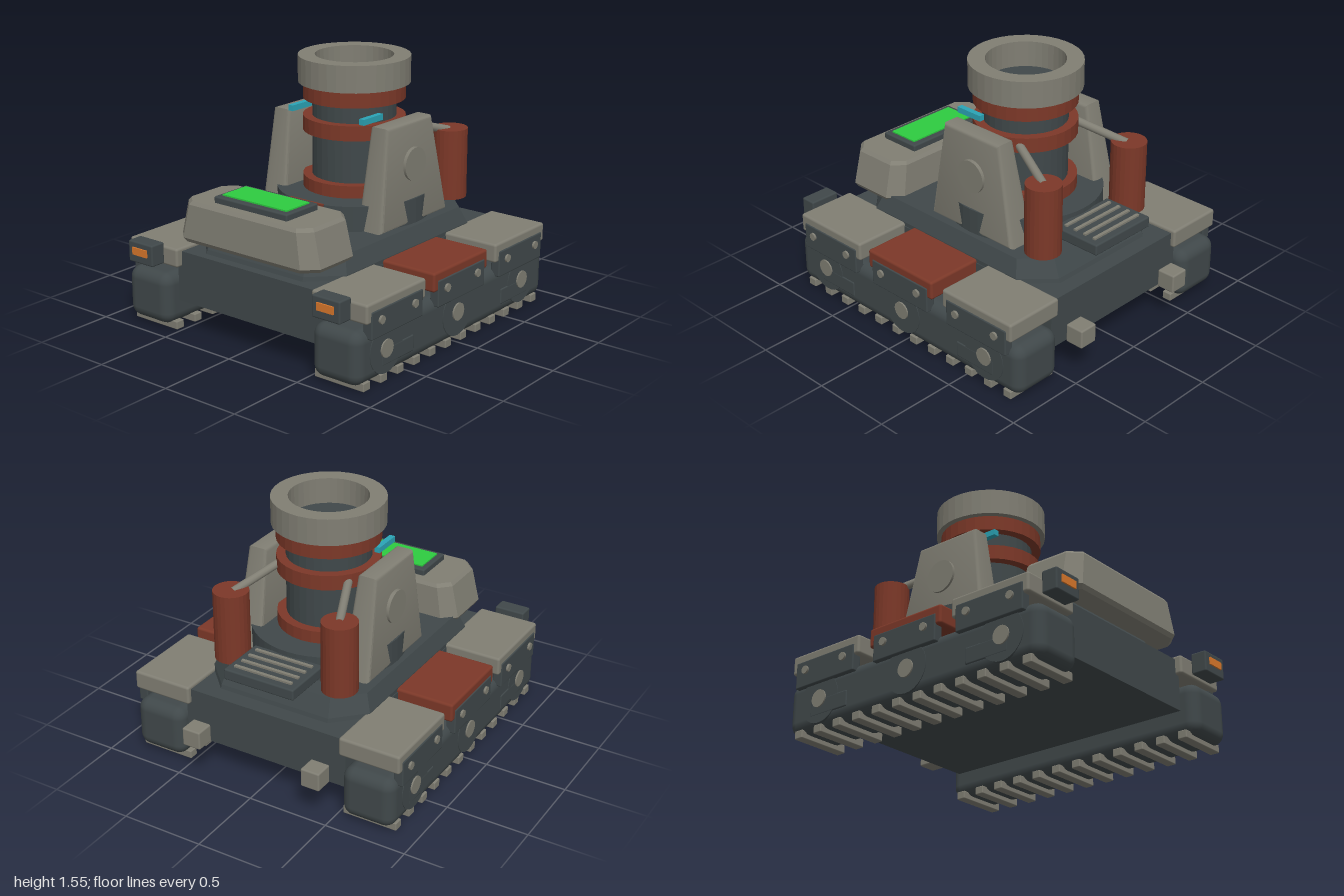
import * as THREE from 'three';
import { RoundedBoxGeometry } from 'three/addons/geometries/RoundedBoxGeometry.js';
import { toCreasedNormals } from 'three/addons/utils/BufferGeometryUtils.js';

const paint = (name, color) => {
  const m = new THREE.MeshStandardMaterial({ color });
  m.name = name;
  return m;
};

export function createModel() {
  const model = new THREE.Group();
  model.name = 'siegeVehicle';
  const dark = paint('darkSteel', 0x40484a);
  const gray = paint('warmGray', 0x807e73);
  const rust = paint('rustRed', 0x7c3828);
  const cyan = paint('cyanSight', 0x2ba4b6);
  const orange = paint('orangeLamp', 0xd9772b);
  const green = paint('greenScreen', 0x2ecc40);

  const add = (name, geometry, material, x = 0, y = 0, z = 0) => {
    const mesh = new THREE.Mesh(geometry, material);
    mesh.name = name;
    mesh.position.set(x, y, z);
    model.add(mesh);
    return mesh;
  };
  const box = (name, mat, w, h, d, x, y, z) => add(name, new THREE.BoxGeometry(w, h, d), mat, x, y, z);
  const softBox = (name, mat, w, h, d, r, x, y, z) => add(name, new RoundedBoxGeometry(w, h, d, 3, r), mat, x, y, z);

  // Upright faceted cylinder between two heights
  const drum = (name, mat, r, y0, y1, x, z, sides = 32) => {
    const g = toCreasedNormals(new THREE.CylinderGeometry(r, r, y1 - y0, sides), 0.1);
    return add(name, g, mat, x, (y0 + y1) / 2, z);
  };
  // Disc whose axis runs sideways
  const sideDisc = (name, mat, r, depth, x, y, z, sides = 28) => {
    const g = toCreasedNormals(new THREE.CylinderGeometry(r, r, depth, sides), 0.6);
    return add(name, g.rotateZ(Math.PI / 2), mat, x, y, z);
  };

  // Flat-faced loft of cut-cornered rectangles: [y, half width, half depth, corner cut]
  const octagonLoft = (sections) => {
    const rings = sections.map(([y, hx, hz, c]) => [
      [hx, y, hz - c], [hx, y, c - hz], [hx - c, y, -hz], [c - hx, y, -hz],
      [-hx, y, c - hz], [-hx, y, hz - c], [c - hx, y, hz], [hx - c, y, hz],
    ]);
    const pos = [];
    const tri = (a, b, c) => pos.push(...a, ...b, ...c);
    for (let k = 0; k < rings.length - 1; k++) {
      for (let i = 0; i < 8; i++) {
        const j = (i + 1) % 8, lo = rings[k], hi = rings[k + 1];
        tri(lo[i], lo[j], hi[j]);
        tri(lo[i], hi[j], hi[i]);
      }
    }
    const bottom = rings[0], top = rings[rings.length - 1];
    for (let i = 1; i < 7; i++) {
      tri(top[0], top[i], top[i + 1]);
      tri(bottom[0], bottom[i + 1], bottom[i]);
    }
    const g = new THREE.BufferGeometry();
    g.setAttribute('position', new THREE.Float32BufferAttribute(pos, 3));
    g.computeVertexNormals();
    return g;
  };

  // Hull, deck and turntable
  box('hull', dark, 1.07, 0.31, 1.68, 0, 0.33, 0);
  add('deck', octagonLoft([[0.48, 0.53, 0.765, 0.17], [0.51, 0.53, 0.755, 0.17], [0.61, 0.49, 0.7, 0.15]]), dark, 0, 0, 0.02);
  const gunZ = -0.13;
  drum('turntable', dark, 0.46, 0.61, 0.76, 0, gunZ, 48);
  box('turntableMark', rust, 0.25, 0.03, 0.014, 0, 0.75, 0.316);

  // Barrel with bands and open muzzle
  drum('barrel', dark, 0.25, 0.75, 1.4, 0, gunZ);
  [[0.75, 0.835], [1.105, 1.195], [1.3, 1.39]].forEach(([a, b]) => drum('barrelBand', rust, 0.305, a, b, 0, gunZ));
  const rim = [[0.233, 1.395], [0.333, 1.395], [0.333, 1.555], [0.233, 1.555], [0.233, 1.395]];
  const muzzle = new THREE.LatheGeometry(rim.map(([r, y]) => new THREE.Vector2(r, y)), 36);
  add('muzzle', toCreasedNormals(muzzle, 0.1), gray, 0, 0, gunZ);

  // Front console with screen
  add('console', octagonLoft([
    [0.575, 0.5, 0.205, 0.08], [0.6, 0.515, 0.22, 0.08],
    [0.8, 0.467, 0.205, 0.07], [0.82, 0.45, 0.19, 0.065],
  ]), gray, 0, 0, 0.672);
  softBox('screenFrame', dark, 0.54, 0.05, 0.27, 0.01, 0, 0.833, 0.67);
  box('screen', green, 0.475, 0.009, 0.195, 0, 0.862, 0.67);

  // Rear vent
  softBox('vent', dark, 0.46, 0.068, 0.32, 0.01, 0, 0.697, -0.73);
  for (let i = 0; i < 4; i++) box('ventSlat', gray, 0.38, 0.02, 0.02, 0, 0.732, -0.835 + i * 0.07);

  // Cheek plate: side outline, thicker toward the foot
  const outline = new THREE.Shape([[0.172, 0.63], [0.09, 1.195], [-0.31, 1.195], [-0.432, 0.63]]
    .map(([z, y]) => new THREE.Vector2(z, y)));
  const cheek = new THREE.ExtrudeGeometry(outline, {
    depth: 0.08, bevelEnabled: true, bevelSize: 0.02, bevelThickness: 0.02, bevelSegments: 3,
  }).translate(0, 0, -0.04).rotateY(-Math.PI / 2);
  const p = cheek.attributes.position;
  for (let i = 0; i < p.count; i++) {
    const t = (p.getY(i) - 0.61) / 0.605;
    p.setX(i, p.getX(i) * (1.5 - 0.5 * t));
  }
  cheek.computeVertexNormals();
  const cheekGeometry = toCreasedNormals(cheek, 0.6);

  for (const s of [1, -1]) {
    // Gun mount
    add('cheekPlate', cheekGeometry, gray, s * 0.365, 0, 0);
    sideDisc('trunnionCap', gray, 0.1, 0.06, s * 0.425, 0.965, gunZ);
    box('sight', cyan, 0.035, 0.035, 0.18, s * 0.265, 1.238, 0.05);

    // Pressure tank and feed pipe
    drum('tank', rust, 0.106, 0.64, 1.07, s * 0.36, -0.61, 24);
    const pipe = new THREE.LineCurve3(
      new THREE.Vector3(s * 0.352, 1.055, -0.6), new THREE.Vector3(s * 0.23, 1.145, -0.3));
    add('feedPipe', new THREE.TubeGeometry(pipe, 1, 0.025, 12), gray);

    // Tow block and headlight
    softBox('towBlock', gray, 0.12, 0.115, 0.117, 0.01, s * 0.4, 0.267, -0.942);
    softBox('headlight', dark, 0.192, 0.13, 0.1, 0.01, s * 0.692, 0.47, 0.94);
    box('lamp', orange, 0.115, 0.045, 0.014, s * 0.692, 0.478, 0.992);

    // Track and cleats
    softBox('track', dark, 0.33, 0.315, 1.85, 0.07, s * 0.702, 0.188, 0.015);
    for (let i = 0; i < 12; i++) {
      softBox('cleat', gray, 0.34, 0.05, 0.06, 0.006, s * 0.693, 0.027, 0.85 - i * 0.1515);
    }
    for (const z of [0.585, -0.575]) softBox('trackBar', dark, 0.03, 0.1, 0.29, 0.01, s * 0.857, 0.15, z);

    // Wheels, fenders, skirts and bolts
    [[0.69, 0.617, gray], [0.018, 0.012, rust], [-0.65, -0.602, gray]].forEach(([wheelZ, z, mat]) => {
      sideDisc('wheel', dark, 0.145, 0.05, s * 0.846, 0.2, wheelZ);
      sideDisc('hub', gray, 0.053, 0.05, s * 0.855, 0.2, wheelZ, 20);
      softBox('fender', mat, 0.382, 0.115, 0.53, 0.015, s * 0.695, 0.448, z);
      softBox('skirt', dark, 0.06, 0.16, 0.46, 0.008, s * 0.862, 0.375, z);
      for (const d of [-0.15, 0.15]) sideDisc('bolt', gray, 0.024, 0.03, s * 0.89, 0.395, z + d, 12);
    });
  }
  return model;
}
